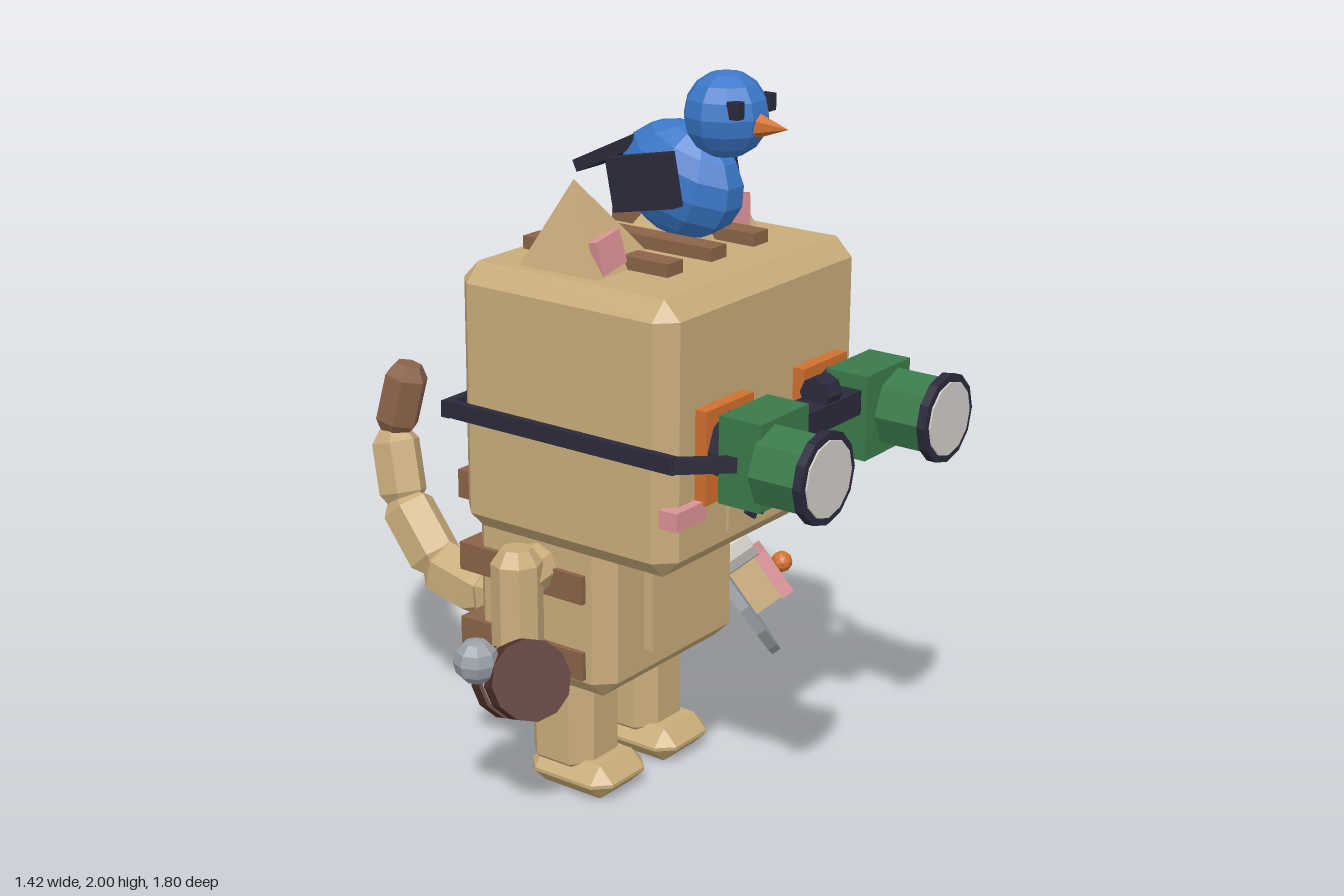
import * as THREE from 'three';
import { ConvexGeometry } from 'three/addons/geometries/ConvexGeometry.js';

const paint = (name, color) => Object.assign(new THREE.MeshStandardMaterial({ color }), { name });
const V = (x, y, z) => new THREE.Vector3(x, y, z);
const UP = V(0, 1, 0);
const MID = -0.075; // the cat's own centre line

export function createModel() {
  const tan = paint('tan fur', 0xc8ab7a), brown = paint('brown stripe', 0x8b6248);
  const navy = paint('navy', 0x2b2a3c), blue = paint('blue feather', 0x3b78c9);
  const green = paint('green', 0x3a7a4a), orange = paint('orange', 0xd0702e);
  const pink = paint('pink', 0xdb9295), grey = paint('plate grey', 0x9aa0a8);
  const pale = paint('pale cream', 0xd2cec8), cocoa = paint('dark cocoa', 0x54332c);
  const model = new THREE.Group();

  // Faceted mesh
  const add = (name, geo, mat, pos = [0, 0, 0], rot = [0, 0, 0], parent = model) => {
    const g = geo.index ? geo.toNonIndexed() : geo;
    g.computeVertexNormals();
    const m = new THREE.Mesh(g, mat);
    m.name = name;
    m.position.set(...pos);
    m.rotation.set(...rot);
    parent.add(m);
    return m;
  };
  // Box given by its extents on each axis
  const box = (name, mat, [x0, x1], [y0, y1], [z0, z1]) =>
    add(name, new THREE.BoxGeometry(x1 - x0, y1 - y0, z1 - z0), mat,
      [(x0 + x1) / 2, (y0 + y1) / 2, (z0 + z1) / 2]);
  // Box with every edge cut off
  const chamfer = (name, mat, [x0, x1], [y0, y1], [z0, z1], b) => {
    const h = [(x1 - x0) / 2, (y1 - y0) / 2, (z1 - z0) / 2], pts = [];
    for (const sx of [-1, 1]) for (const sy of [-1, 1]) for (const sz of [-1, 1])
      for (let k = 0; k < 3; k++) {
        const [x, y, z] = h.map((v, i) => (i === k ? v : v - b));
        pts.push(V(sx * x, sy * y, sz * z));
      }
    return add(name, new ConvexGeometry(pts), mat, [(x0 + x1) / 2, (y0 + y1) / 2, (z0 + z1) / 2]);
  };
  // Turn a mesh so that its y axis runs from a to b
  const span = (mesh, a, b) => {
    mesh.position.copy(a).add(b).multiplyScalar(0.5);
    mesh.quaternion.setFromUnitVectors(UP, b.clone().sub(a).normalize());
    return mesh;
  };
  const rod = (name, mat, a, b, r, n = 8, r2 = r) =>
    span(add(name, new THREE.CylinderGeometry(r2, r, a.distanceTo(b), n), mat), a, b);
  // Limb piece with tapered ends
  const link = (name, mat, a, b, r, n = 6) => {
    const h = a.distanceTo(b) / 2, c = Math.min(0.04, h * 0.4);
    const prof = [[0, -h], [r * 0.6, -h], [r, c - h], [r, h - c], [r * 0.6, h], [0, h]];
    return span(add(name, new THREE.LatheGeometry(prof.map(p => new THREE.Vector2(...p)), n), mat), a, b);
  };

  // Body, belly and back stripes
  chamfer('body', tan, [-0.385, 0.23], [0.34, 0.95], [-0.24, 0.23], 0.05);
  box('belly', tan, [-0.22, 0.07], [0.45, 0.82], [0.2, 0.26]);
  for (const y of [0.44, 0.66, 0.87])
    box('bodyStripe', brown, [-0.4, 0.245], [y - 0.04, y + 0.04], [-0.265, 0.16]);

  // Head with stripes
  chamfer('head', tan, [-0.51, 0.36], [0.8, 1.53], [-0.175, 0.52], 0.05);
  for (const x of [-0.265, MID, 0.115])
    box('headStripe', brown, [x - 0.033, x + 0.033], [1.52, 1.565], [-0.11, 0.36]);

  // Face
  box('muzzle', tan, [-0.255, 0.105], [0.87, 1.07], [0.5, 0.528]);
  box('nose', pink, [-0.127, -0.023], [0.973, 1.037], [0.51, 0.562]);
  box('mouthLine', navy, [MID - 0.01, MID + 0.01], [0.92, 0.975], [0.52, 0.537]);

  for (const s of [-1, 1]) {
    const X = d => MID + s * d;
    const range = (a, b) => [Math.min(X(a), X(b)), Math.max(X(a), X(b))];
    add('mouthInner', new THREE.BoxGeometry(0.055, 0.02, 0.017), navy, [X(0.024), 0.905, 0.529], [0, 0, -s * 0.7]);
    add('mouthOuter', new THREE.BoxGeometry(0.05, 0.02, 0.017), navy, [X(0.088), 0.9, 0.529], [0, 0, s * 0.6]);
    box('cheek', pink, range(0.305, 0.43), [0.95, 1.0], [0.49, 0.545]);

    // Ear: a pyramid whose tip leans outwards
    const ear = new THREE.CylinderGeometry(0, 0.13 * Math.SQRT2, 0.24, 4);
    ear.rotateY(Math.PI / 4);
    const p = ear.attributes.position;
    for (let i = 0; i < p.count; i++) p.setX(i, p.getX(i) + s * 0.06 * (p.getY(i) / 0.24 + 0.5));
    add('ear', ear, tan, [X(0.225), 1.64, 0.11]);
    add('innerEar', new THREE.BoxGeometry(0.1, 0.09, 0.025), pink, [X(0.28), 1.585, 0.215], [-0.15, 0, -s * 0.17]);

    // Legs and feet
    const leg = 0.147;
    chamfer('leg', tan, range(leg - 0.103, leg + 0.103), [0.04, 0.4], [-0.113, 0.1], 0.05);
    chamfer('foot', tan, range(leg - 0.116, leg + 0.116), [0, 0.1], [-0.105, 0.18], 0.045);

    // Arms
    link('shoulder', tan, V(X(0.27), 0.7, 0), V(X(0.44), 0.67, 0), 0.065, 8);
    link('arm', tan, V(X(0.4), 0.77, 0), V(X(0.41), 0.42, 0.01), 0.07, 8);

    // Binoculars
    box('eyePlate', orange, range(0.115, 0.32), [0.99, 1.24], [0.51, 0.555]);
    rod('eyepiece', navy, V(X(0.225), 1.13, 0.55), V(X(0.225), 1.13, 0.62), 0.09);
    box('prismHousing', green, range(0.135, 0.345), [1.02, 1.25], [0.61, 0.735]);
    rod('barrel', green, V(X(0.285), 1.13, 0.73), V(X(0.285), 1.13, 0.88), 0.108);
    rod('lensRing', navy, V(X(0.285), 1.13, 0.868), V(X(0.285), 1.13, 0.893), 0.12, 12);
    rod('lens', pale, V(X(0.285), 1.13, 0.88), V(X(0.285), 1.13, 0.898), 0.1, 12);

    // Strap along the side and in to the binoculars
    box('strapSide', navy, range(0.433, 0.455), [1.11, 1.155], [-0.19, 0.55]);
    const d = add('strapFront', new THREE.BoxGeometry(0.022, 0.04, 0.17), navy, [X(0.392), 1.132, 0.6]);
    d.rotation.y = -s * 0.75;
  }
  box('strapBack', navy, [-0.535, 0.38], [1.11, 1.155], [-0.2, -0.174]);
  box('bridge', navy, [-0.2, 0.05], [1.15, 1.215], [0.635, 0.725]);
  rod('focusKnob', navy, V(MID - 0.03, 1.235, 0.683), V(MID + 0.03, 1.235, 0.683), 0.045);

  // Tail
  const tail = [V(-0.085, 0.43, -0.19), V(-0.085, 0.4, -0.44), V(-0.08, 0.44, -0.63),
    V(-0.06, 0.6, -0.78), V(-0.03, 0.79, -0.84), V(0, 1.005, -0.8)];
  for (let i = 0; i < 5; i++) {
    const out = tail[i + 1].clone().sub(tail[i]).normalize().multiplyScalar(i < 4 ? 0.015 : 0);
    link(i < 4 ? 'tailSegment' : 'tailTip', i < 4 ? tan : brown,
      tail[i].clone().sub(out), tail[i + 1].clone().add(out), 0.094 - i * 0.007);
  }

  // Plate of treats in the left hand, tilted up and outwards
  const plate = new THREE.Group();
  plate.name = 'plate';
  plate.position.set(0.48, 0.365, 0.01);
  plate.quaternion.setFromUnitVectors(UP, V(0.63, 0.55, 0.55).normalize());
  model.add(plate);
  const inv = plate.quaternion.clone().invert();
  const onPlate = (x, y, z) => V(x, y, z).sub(plate.position).applyQuaternion(inv);
  add('dish', new THREE.CylinderGeometry(0.257, 0.257, 0.03, 16), grey, [0, 0, 0], [0, 0, 0], plate);
  const cup = onPlate(0.39, 0.46, 0.02);
  add('marshmallow', new THREE.CylinderGeometry(0.066, 0.066, 0.13, 10), pale, [cup.x, 0.06, cup.z], [0, 0, 0], plate);
  const cake = onPlate(0.546, 0.294, -0.006);
  const turn = [0, 0.6, 0];
  add('cake', new THREE.BoxGeometry(0.145, 0.1, 0.145), tan, [cake.x, 0.06, cake.z], turn, plate);
  add('icing', new THREE.BoxGeometry(0.155, 0.04, 0.155), pink, [cake.x, 0.125, cake.z], turn, plate);
  add('cherry', new THREE.IcosahedronGeometry(0.033, 1), orange, [cake.x, 0.165, cake.z], turn, plate);

  // Sandwich biscuit and microphone in the right hand
  const a = V(-0.485, 0.39, -0.02), b = V(-0.575, 0.46, 0.13);
  const at = t => a.clone().lerp(b, t);
  rod('biscuitBack', cocoa, at(0), at(0.38), 0.11, 12);
  rod('biscuitCream', pale, at(0.36), at(0.64), 0.1, 12);
  rod('biscuitFront', cocoa, at(0.62), at(1), 0.11, 12);
  rod('microphoneHandle', navy, V(-0.48, 0.4, -0.1), V(-0.62, 0.49, -0.02), 0.032, 8, 0.042);
  add('microphoneHead', new THREE.SphereGeometry(0.062, 8, 6), grey, [-0.645, 0.505, 0]);

  // Bird on the head
  const bx = 0.035;
  const bird = add('birdBody', new THREE.SphereGeometry(1, 10, 8), blue, [bx, 1.695, 0.16], [0.35, 0, 0]);
  bird.scale.set(0.122, 0.152, 0.187);
  add('birdHead', new THREE.SphereGeometry(0.115, 10, 8), blue, [bx, 1.885, 0.3]);
  add('beak', new THREE.ConeGeometry(0.036, 0.1, 6), orange, [bx, 1.868, 0.443], [Math.PI / 2, 0, 0]);
  for (const s of [-1, 1]) {
    add('birdEye', new THREE.BoxGeometry(0.03, 0.045, 0.035), navy, [bx + s * 0.072, 1.915, 0.378]);
    add('wing', new THREE.BoxGeometry(0.042, 0.145, 0.2), navy, [bx + s * 0.132, 1.705, 0.133], [-0.2, 0, 0]);
  }
  add('birdTail', new THREE.BoxGeometry(0.11, 0.034, 0.22), navy, [bx, 1.74, -0.06], [-0.45, 0, 0]);
  return model;
}
